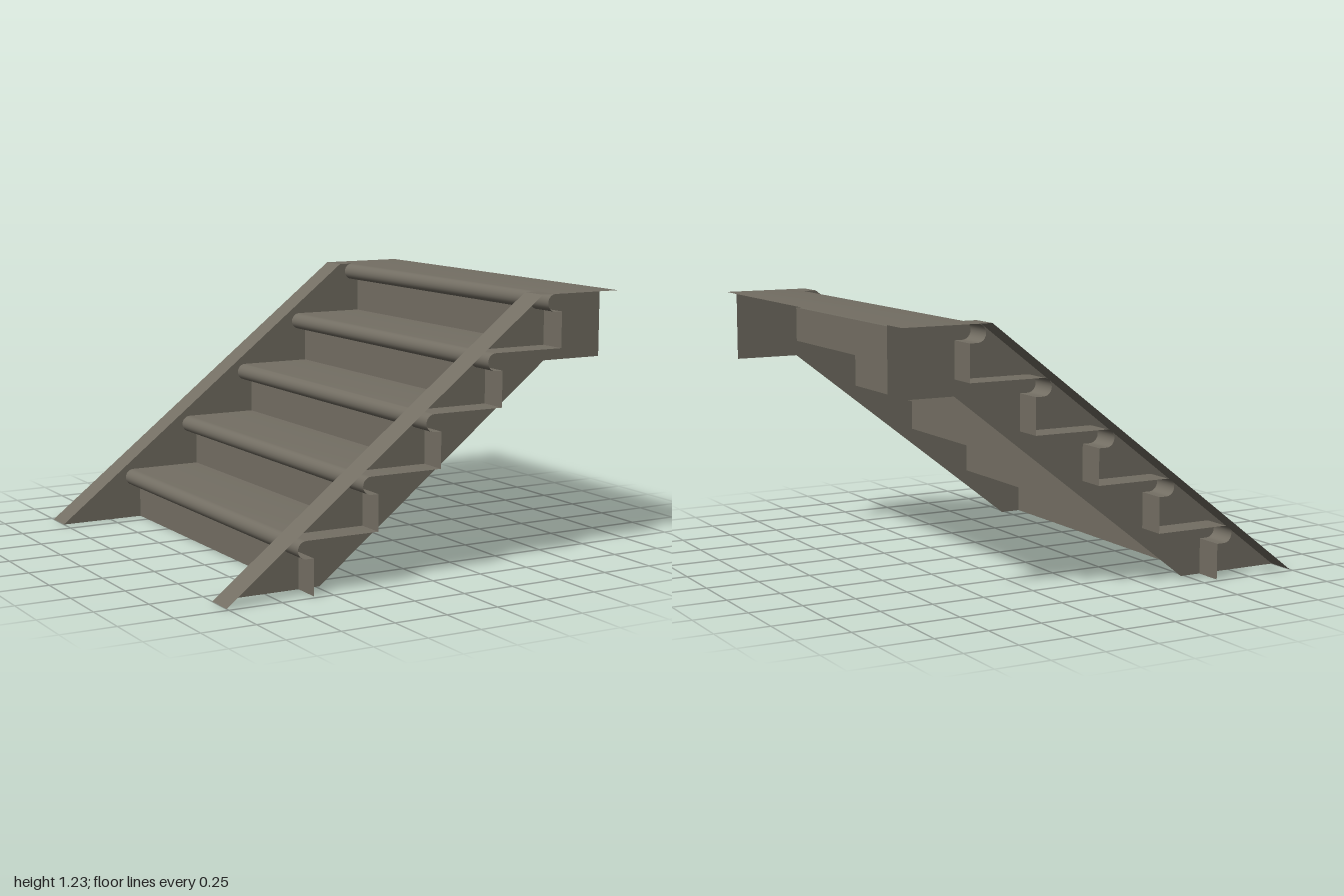
import * as THREE from 'three';
import { toCreasedNormals } from 'three/addons/utils/BufferGeometryUtils.js';

const OUTER = 0.977, INNER = 0.84;          // half widths of the flight and between stringers
const STEPS = 5, RUN = 0.318, RISE = 0.246; // step spacing
const FIRST_NOSE = -0.662, NOSE_R = 0.04, OVERHANG = 0.077;
const TOP = STEPS * RISE;

// Sweep an open (x, y) profile straight along z, as a thin sheet
function sheet(profile, z0, z1) {
  const pos = [];
  for (let i = 0; i < profile.length - 1; i++) {
    const [ax, ay] = profile[i], [bx, by] = profile[i + 1];
    pos.push(ax, ay, z0, ax, ay, z1, bx, by, z1);
    pos.push(ax, ay, z0, bx, by, z1, bx, by, z0);
  }
  const geo = new THREE.BufferGeometry();
  geo.setAttribute('position', new THREE.Float32BufferAttribute(pos, 3));
  return toCreasedNormals(geo, 0.6);
}

export function createModel() {
  const group = new THREE.Group();
  group.name = 'staircase';
  const metal = new THREE.MeshStandardMaterial({ color: 0x736e63, side: THREE.DoubleSide });
  metal.name = 'grey brown metal';

  const add = (name, geo) => {
    const mesh = new THREE.Mesh(geo, metal);
    mesh.name = name;
    group.add(mesh);
    return mesh;
  };

  // Steps: riser, rounded nosing and tread folded from one sheet
  for (let i = 0; i < STEPS; i++) {
    const nose = FIRST_NOSE + i * RUN;
    const riser = nose + OVERHANG;
    const y = (i + 1) * RISE;
    const profile = [[riser, i * RISE], [riser, y - 2 * NOSE_R]];
    for (let k = 0; k <= 12; k++) {
      const a = (k / 12) * Math.PI;
      profile.push([nose + NOSE_R - Math.sin(a) * NOSE_R, y - NOSE_R - Math.cos(a) * NOSE_R]);
    }
    profile.push([i === STEPS - 1 ? 1 : riser + RUN, y]);
    add('step' + (i + 1), sheet(profile, -OUTER, OUTER));
  }

  // Stringer plates, shared by both sides
  const outline = new THREE.Shape([
    [-1, 0], [-0.482, 0], [0.69, 0.912], [1, 0.912], [1, TOP], [0.58, TOP],
  ].map(([x, y]) => new THREE.Vector2(x, y)));
  const plate = new THREE.ShapeGeometry(outline);

  // Flanges stop where the landing sheet takes over
  const landingStart = FIRST_NOSE + (STEPS - 1) * RUN + NOSE_R;
  const flange = [[-1, 0], [0.58, TOP], [landingStart, TOP]];

  for (const [side, s] of [['front', 1], ['back', -1]]) {
    add(side + 'StringerPlate', plate).position.z = s * INNER;
    const z0 = s > 0 ? INNER : -OUTER;
    add(side + 'StringerFlange', sheet(flange, z0, z0 + OUTER - INNER));
  }
  return group;
}
